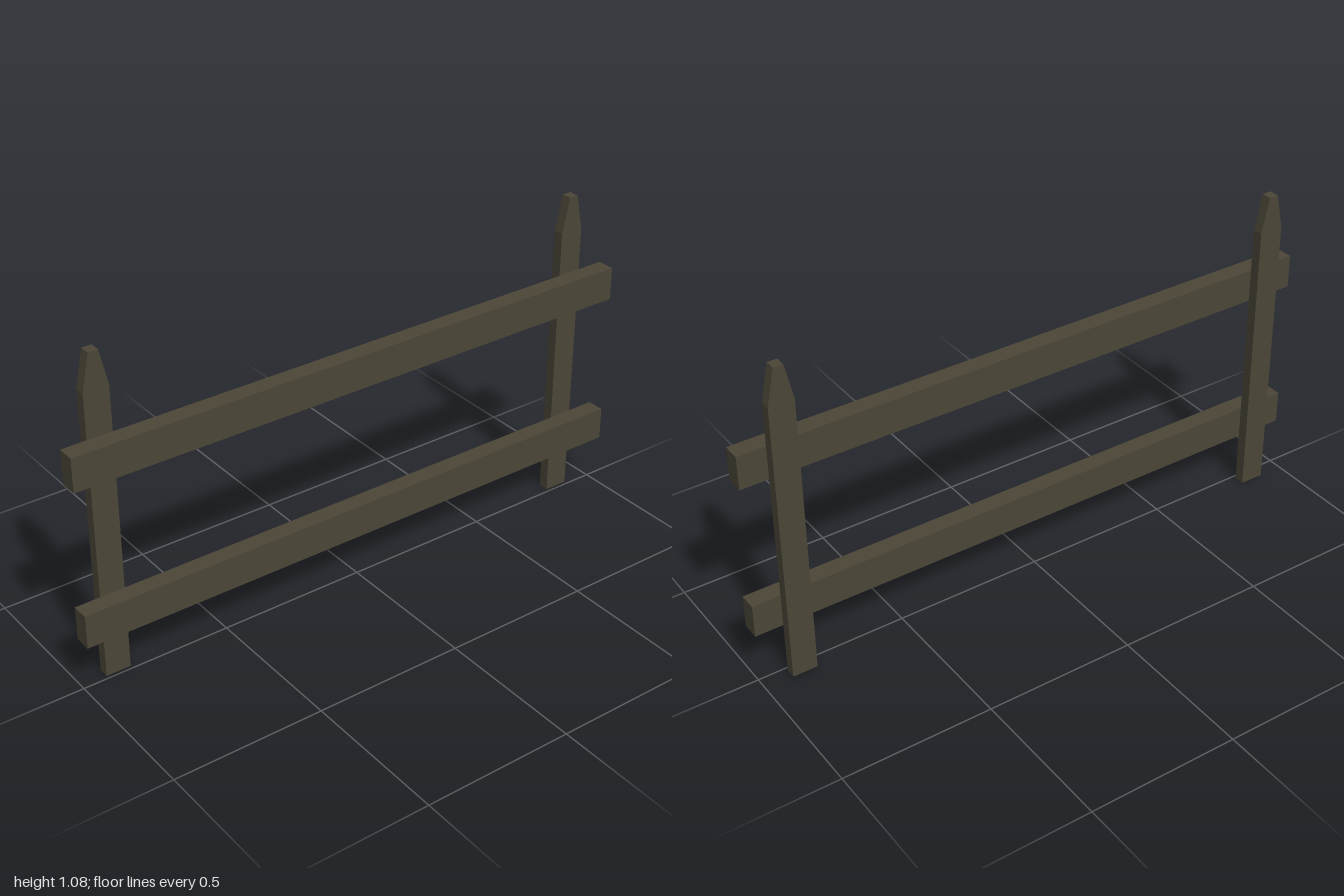
import * as THREE from 'three';

export function createModel() {
  const model = new THREE.Group();
  model.name = 'fence';
  const wood = new THREE.MeshStandardMaterial({ color: 0x4b4637 });
  wood.name = 'dark weathered wood';

  // Upright pickets with tapered, blunt tips
  const half = 0.0415, tip = 0.016, shoulder = 0.96, height = 1.08;
  const outline = new THREE.Shape([
    [-half, 0], [half, 0], [half, shoulder],
    [tip, height], [-tip, height], [-half, shoulder],
  ].map(([x, y]) => new THREE.Vector2(x, y)));
  const postGeometry = new THREE.ExtrudeGeometry(outline, { depth: 0.035, bevelEnabled: false });
  for (const [name, x] of [['rightPost', -0.875], ['leftPost', 0.866]]) {
    const post = new THREE.Mesh(postGeometry, wood);
    post.name = name;
    post.position.set(x, 0, -0.047);
    model.add(post);
  }

  // Horizontal rails across the front of the posts
  const railGeometry = new THREE.BoxGeometry(2, 0.112, 0.059);
  for (const [name, y] of [['lowerRail', 0.231], ['upperRail', 0.759]]) {
    const rail = new THREE.Mesh(railGeometry, wood);
    rail.name = name;
    rail.position.set(0, y, 0.0185);
    model.add(rail);
  }
  return model;
}
